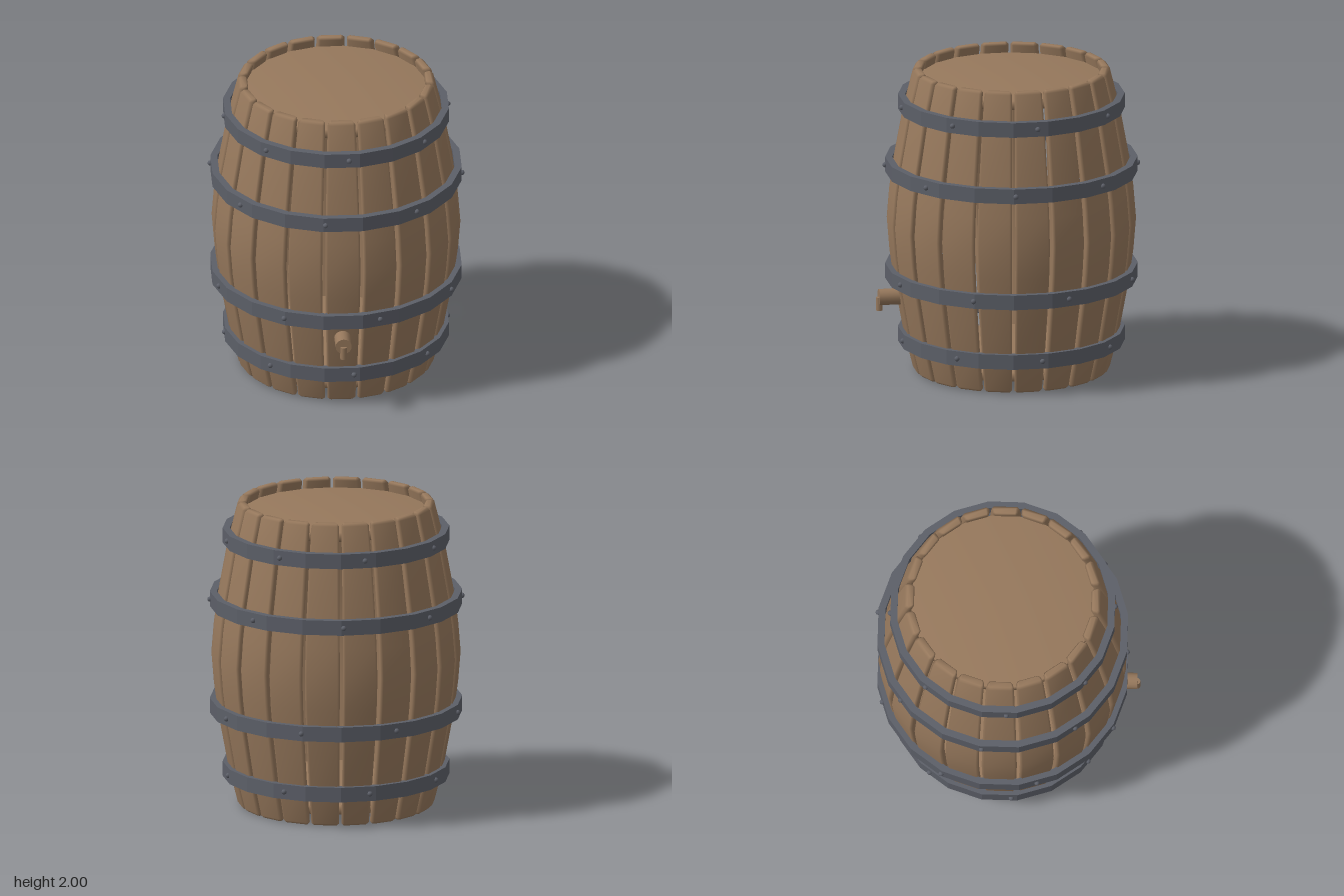
import * as THREE from 'three';

const CZ = -0.035; // barrel axis, leaving room for the tap in front
const STAVES = 20;
const rad = THREE.MathUtils.degToRad;

// outer radius of the barrel from one end (y = 0) to the belly (y = 1)
const PROFILE = [[0, 0.613], [0.015, 0.629], [0.27, 0.692], [0.6, 0.752], [0.8, 0.779], [1, 0.795]];

// one bowed stave with bevelled edges, facing +z
function staveGeometry() {
  const rows = [...PROFILE, ...PROFILE.slice(0, -1).reverse().map(([y, r]) => [2 - y, r])];
  const pos = [], idx = [], n = 8;
  rows.forEach(([y, r], k) => {
    const end = k === 0 || k === rows.length - 1;
    const inset = end ? 0.012 : 0;
    const inner = r - (end ? 0.035 : 0.06);
    const wo = r * Math.tan(rad(8.1)) - inset, wi = inner * Math.tan(rad(8.1)) - inset;
    const b = end ? 0.008 : 0.015;
    const ring = [
      [-wo + b, r], [wo - b, r], [wo, r - b], [wi, inner + b],
      [wi - b, inner], [-wi + b, inner], [-wi, inner + b], [-wo, r - b],
    ];
    ring.forEach(([x, z]) => pos.push(x, y, z));
  });
  for (let k = 0; k < rows.length - 1; k++) {
    for (let i = 0; i < n; i++) {
      const a = k * n + i, b = k * n + (i + 1) % n;
      idx.push(a, b, b + n, a, b + n, a + n);
    }
  }
  const top = (rows.length - 1) * n;
  for (let i = 1; i < n - 1; i++) idx.push(0, i + 1, i, top, top + i, top + i + 1);
  const g = new THREE.BufferGeometry();
  g.setAttribute('position', new THREE.Float32BufferAttribute(pos, 3));
  g.setIndex(idx);
  g.computeVertexNormals();
  return g;
}

// faceted band whose flats line up with the staves
function hoopGeometry(inner, outer, height) {
  const k = 1 / Math.cos(Math.PI / STAVES), h = height / 2;
  const section = [[outer, -h], [outer, h], [inner, h], [inner, -h], [outer, -h]]
    .map(([r, y]) => new THREE.Vector2(r * k, y));
  const g = new THREE.LatheGeometry(section, STAVES, Math.PI / STAVES).toNonIndexed();
  g.computeVertexNormals();
  return g;
}

export function createModel() {
  const wood = new THREE.MeshStandardMaterial({ color: 0x96785c });
  wood.name = 'oak wood';
  const iron = new THREE.MeshStandardMaterial({ color: 0x5c5f68 });
  iron.name = 'dark iron';

  const model = new THREE.Group();
  model.name = 'barrel';
  const cask = new THREE.Group();
  cask.name = 'cask';
  cask.position.z = CZ;
  model.add(cask);

  const add = (parent, name, geometry, material, x = 0, y = 0, z = 0) => {
    const mesh = new THREE.Mesh(geometry, material);
    mesh.name = name;
    mesh.position.set(x, y, z);
    parent.add(mesh);
    return mesh;
  };

  // staves
  const stave = staveGeometry();
  for (let i = 0; i < STAVES; i++) {
    add(cask, 'stave', stave, wood).rotation.y = (i / STAVES) * Math.PI * 2;
  }

  // recessed round heads, softly shaded
  const headSection = [[0, -0.03], [0.59, -0.03], [0.59, 0.03], [0, 0.03]]
    .map(([r, y]) => new THREE.Vector2(r, y));
  const head = new THREE.LatheGeometry(headSection, 40);
  add(cask, 'bottomHead', head, wood, 0, 0.095, 0);
  add(cask, 'topHead', head, wood, 0, 1.905, 0);

  // hoops, each with eight rivets turned by its own offset
  const rivet = new THREE.SphereGeometry(0.017, 12, 8);
  const hoops = [
    ['bottomHoop', 0.23, 0.675, 0.72, 6],
    ['lowerHoop', 0.65, 0.757, 0.802, 17.5],
    ['upperHoop', 1.357, 0.757, 0.802, -8],
    ['topHoop', 1.777, 0.675, 0.72, 3.5],
  ];
  for (const [name, y, inner, outer, offset] of hoops) {
    add(cask, name, hoopGeometry(inner, outer, 0.097), iron, 0, y, 0);
    for (let i = 0; i < 8; i++) {
      const a = rad(offset + i * 45);
      // distance to the flat facet under the rivet
      const step = (Math.PI * 2) / STAVES;
      const r = outer / Math.cos(a - Math.round(a / step) * step) + 0.002;
      add(cask, name + 'Rivet', rivet, iron, r * Math.sin(a), y, r * Math.cos(a));
    }
  }

  // tap: short barrel with a spout hanging from its end
  const tap = new THREE.Group();
  tap.name = 'tap';
  model.add(tap);
  const body = add(tap, 'tapBody', new THREE.CylinderGeometry(0.052, 0.054, 0.17, 16), wood, 0, 0.508, 0.745);
  body.rotation.x = Math.PI / 2;
  add(tap, 'tapSpout', new THREE.CylinderGeometry(0.022, 0.022, 0.085, 12), wood, 0, 0.464, 0.828);

  return model;
}
